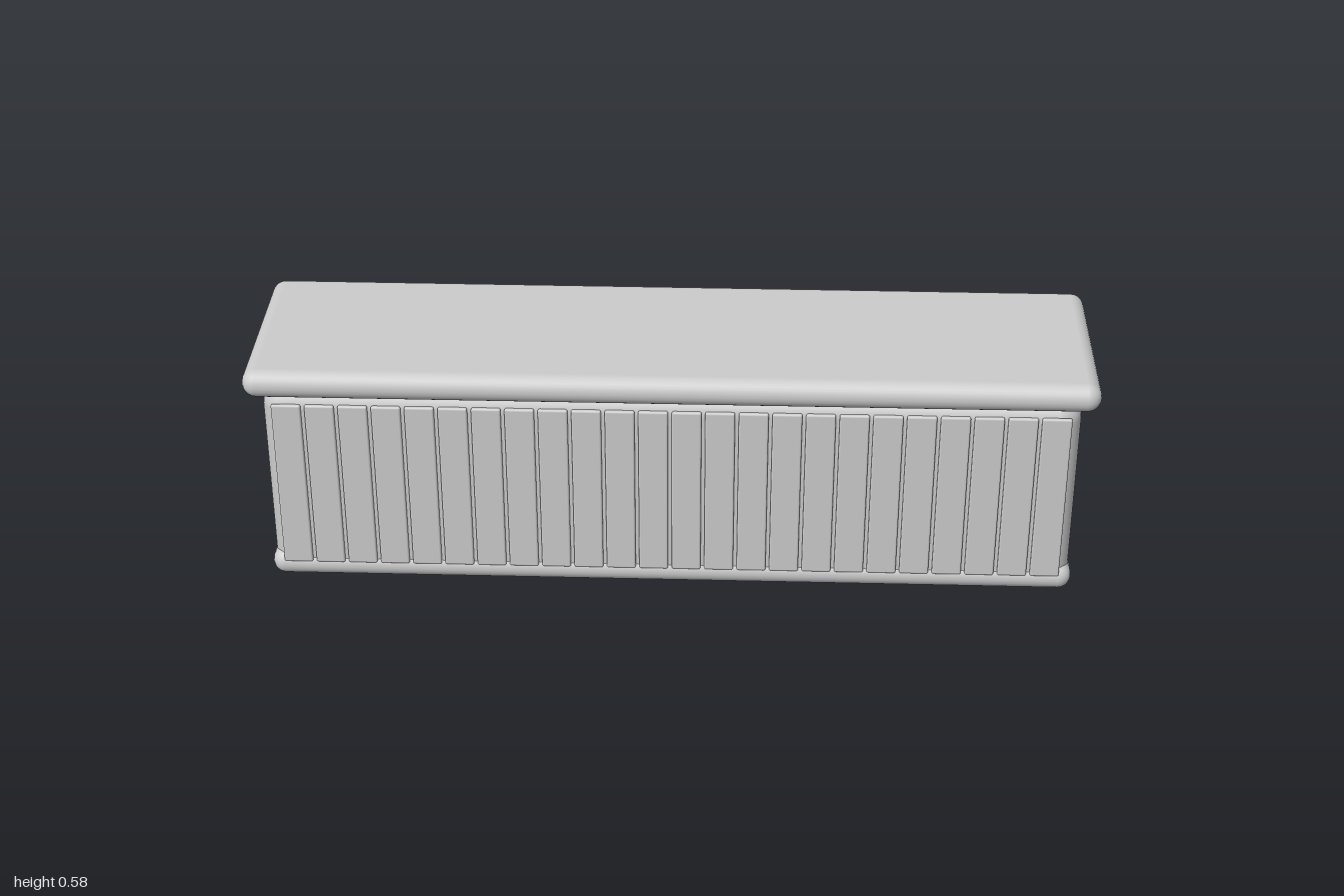
import * as THREE from 'three';
import { RoundedBoxGeometry } from 'three/addons/geometries/RoundedBoxGeometry.js';

export function createModel() {
  const group = new THREE.Group();
  group.name = 'counter';
  const grey = new THREE.MeshStandardMaterial({ color: 0xcccccc });
  grey.name = 'plain grey';

  // Rounded block placed by its size, bottom height and depth position
  function block(name, w, h, d, radius, segments, x, bottom, z) {
    const mesh = new THREE.Mesh(new RoundedBoxGeometry(w, h, d, segments, radius), grey);
    mesh.name = name;
    mesh.position.set(x, bottom + h / 2, z);
    group.add(mesh);
    return mesh;
  }

  // Worktop, cabinet body and plinth
  block('worktop', 2, 0.07, 0.5, 0.0345, 3, 0, 0.515, 0);
  block('body', 1.93, 0.525, 0.43, 0.055, 3, 0, 0, 0);
  block('plinth', 1.94, 0.066, 0.444, 0.0325, 3, 0, 0.004, 0);

  // Row of upright slats along the front
  const count = 24;
  const pitch = 0.0785;
  for (let i = 0; i < count; i++) {
    const x = (i - (count - 1) / 2) * pitch;
    block('frontSlat' + (i + 1), 0.07, 0.44, 0.012, 0.005, 2, x, 0.05, 0.217);
  }

  return group;
}
